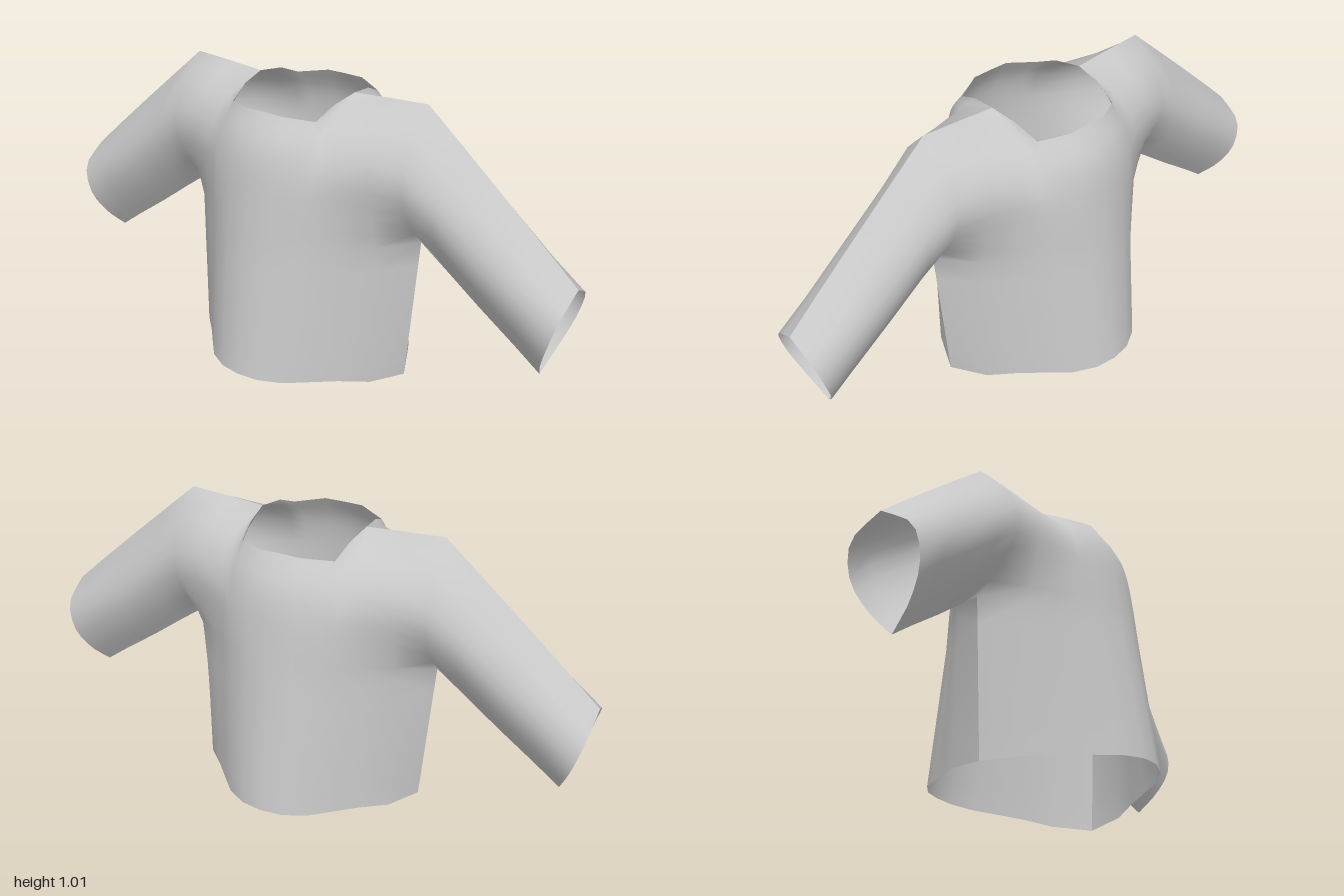
import * as THREE from 'three';
import { mergeGeometries, mergeVertices } from 'three/addons/utils/BufferGeometryUtils.js';

const ROWS = 10;
const V = (p) => new THREE.Vector3(...p);

// Chest columns from the centre to the armhole, each from armpit level up to neck or shoulder.
const CHEST = [
  [[0, .54, .342], [0, .7, .322], [0, .8, .31], [0, .88, .286], [0, .963, .23]],
  [[.08, .54, .334], [.08, .7, .317], [.08, .8, .302], [.075, .88, .28], [.07, .962, .23]],
  [[.165, .54, .288], [.165, .7, .28], [.165, .8, .268], [.165, .88, .24], [.165, .95, .18]],
  [[.22, .54, .24], [.215, .7, .243], [.205, .8, .238], [.19, .9, .19], [.178, .985, .1]],
  [[.275, .54, .195], [.27, .69, .206], [.26, .81, .208], [.23, .925, .15], [.19, 1, 0]],
  [[.36, .54, .125], [.36, .67, .155], [.355, .81, .176], [.34, .918, .128], [.32, 1.01, 0]],
  [[.46, .54, 0], [.46, .66, .1], [.46, .79, .148], [.46, .91, .104], [.46, 1.018, 0]],
];
// Sleeve sections from the armhole to the cuff.
const SLEEVE = [
  CHEST[6],
  [[.555, .47, 0], [.56, .59, .092], [.565, .71, .13], [.57, .815, .098], [.58, .915, 0]],
  [[.68, .375, 0], [.695, .48, .085], [.71, .59, .125], [.722, .695, .095], [.73, .785, 0]],
  [[.82, .274, 0], [.84, .37, .08], [.865, .475, .122], [.885, .56, .097], [.895, .64, 0]],
  [[.91, .206, 0], [.935, .285, .07], [.965, .38, .114], [.99, .48, .1], [1, .545, 0]],
];
// Hem points below each chest column.
const HEM = [
  [0, .067, .405], [.075, .064, .393], [.15, .057, .35], [.22, .047, .275],
  [.28, .038, .21], [.36, .022, .13], [.42, .006, 0],
];

const flipX = ([x, y, z]) => [-x, y, z];
const flipSection = (s) => s.map(flipX);
const mirrored = (list, flip) => [...list.slice(1).reverse().map(flip), ...list];

// Columns of points, smoothed along each section.
const columns = (sections) =>
  sections.map((s) => new THREE.CatmullRomCurve3(s.map(V)).getPoints(ROWS));

// Skins a grid of columns that all have the same number of points.
function gridGeometry(grid) {
  const h = grid[0].length, index = [];
  for (let i = 0; i < grid.length - 1; i++) {
    for (let j = 0; j < h - 1; j++) {
      const a = i * h + j, b = a + h;
      index.push(a, b, b + 1, a, b + 1, a + 1);
    }
  }
  const g = new THREE.BufferGeometry().setFromPoints(grid.flat());
  g.setIndex(index);
  return g;
}

// Front half: chest, torso below the armpits, and both sleeves in one smooth skin.
function halfShirt() {
  const chest = columns(mirrored(CHEST, flipSection));
  const hem = mirrored(HEM, flipX).map(V);
  const torso = chest.map((col, i) =>
    Array.from({ length: 7 }, (_, k) => hem[i].clone().lerp(col[0], k / 6)));
  const left = columns(SLEEVE);
  const right = columns(SLEEVE.map(flipSection).reverse());
  const g = mergeVertices(mergeGeometries([chest, torso, left, right].map(gridGeometry)), 1e-4);
  g.computeVertexNormals();
  return g;
}

export function createModel() {
  const cloth = new THREE.MeshStandardMaterial({ color: 0xc8c8c8, side: THREE.DoubleSide });
  cloth.name = 'greyCloth';
  const group = new THREE.Group();
  group.name = 'shirt';

  const front = new THREE.Mesh(halfShirt(), cloth);
  front.name = 'frontPanel';

  // Back panel mirrors the front, with corners reversed to face outward.
  const backGeometry = front.geometry.clone();
  backGeometry.scale(1, 1, -1);
  backGeometry.setIndex(Array.from(backGeometry.index.array).reverse());
  backGeometry.computeVertexNormals();
  const back = new THREE.Mesh(backGeometry, cloth);
  back.name = 'backPanel';

  group.add(front, back);
  return group;
}
